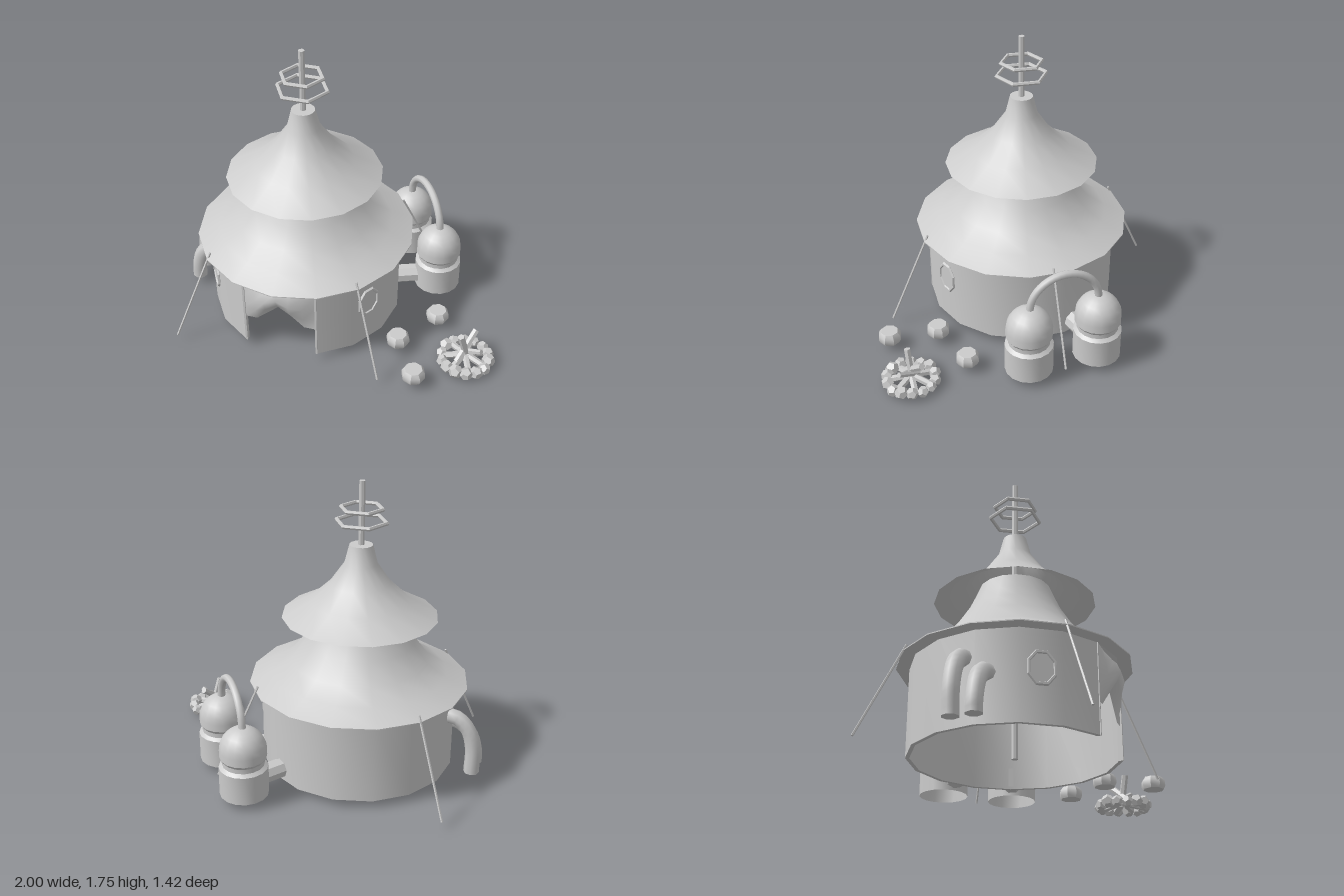
import * as THREE from 'three';
import { toCreasedNormals } from 'three/addons/utils/BufferGeometryUtils.js';

const smooth = new THREE.MeshStandardMaterial({ color: 0xcccccc, side: THREE.DoubleSide });
const flat = new THREE.MeshStandardMaterial({ color: 0xcccccc, flatShading: true });
const V = (x, y, z) => new THREE.Vector3(x, y, z);
const HUT = V(-0.24, 0, 0.06);
const GROUND = 0.06;

function add(parent, name, geometry, material = smooth) {
  const mesh = new THREE.Mesh(geometry, material);
  mesh.name = name;
  parent.add(mesh);
  return mesh;
}

// Creased lathe from [radius, height] pairs
function lathe(points, sides, start = 0, length = Math.PI * 2) {
  const profile = points.map(([r, y]) => new THREE.Vector2(r, y));
  return toCreasedNormals(new THREE.LatheGeometry(profile, sides, start, length), 0.55);
}

// Straight rod between two points
function rod(parent, name, a, b, radius, sides = 6) {
  const mesh = add(parent, name, new THREE.CylinderGeometry(radius, radius, a.distanceTo(b), sides), flat);
  mesh.position.copy(a).lerp(b, 0.5);
  mesh.quaternion.setFromUnitVectors(V(0, 1, 0), b.clone().sub(a).normalize());
  return mesh;
}

function buildHut() {
  const hut = new THREE.Group();
  hut.name = 'hut';
  hut.position.copy(HUT);

  // Sixteen-sided wall with two sides left open for the door
  const wall = [[0.575, GROUND], [0.575, 0.585], [0.553, 0.585], [0.553, GROUND], [0.575, GROUND]];
  add(hut, 'wall', lathe(wall, 14, Math.PI / 8, Math.PI * 1.75));

  // Two flared roofs
  add(hut, 'lowerRoof', lathe([[0.575, 0.56], [0.648, 0.562], [0.648, 0.568], [0.52, 0.628], [0.41, 0.70],
    [0.326, 0.81], [0.27, 0.90], [0.238, 0.97], [0.2, 1.06]], 16));
  add(hut, 'upperRoof', lathe([[0.456, 0.968], [0.29, 1.06], [0.176, 1.166], [0.096, 1.283],
    [0.068, 1.395], [0, 1.395]], 16));

  // Centre pole with hexagonal rings
  rod(hut, 'centrePole', V(0, GROUND, 0), V(0, 1.765, 0), 0.018, 8);
  for (const [radius, y] of [[0.145, 1.53], [0.12, 1.607]]) {
    const ring = add(hut, 'poleRing', new THREE.TorusGeometry(radius, 0.012, 6, 6), flat);
    ring.rotation.x = Math.PI / 2;
    ring.position.y = y;
  }

  for (const side of [-1, 1]) {
    // Door jamb
    const jamb = add(hut, 'doorJamb', new THREE.BoxGeometry(0.012, 0.52, 0.03), flat);
    jamb.position.set(side * 0.217, 0.32, 0.519);

    // Octagonal window on the wall side next to the front
    const window = new THREE.Group();
    window.name = 'window';
    const angle = side * Math.PI * 2.5 / 8;
    window.position.set(Math.sin(angle) * 0.566, 0.35, Math.cos(angle) * 0.566);
    window.rotation.y = angle;
    window.scale.set(0.8, 1, 1);
    add(window, 'windowFrame', new THREE.TorusGeometry(0.09, 0.012, 6, 8), flat).rotation.z = Math.PI / 8;
    const pane = add(window, 'windowPane', new THREE.CircleGeometry(0.09, 8));
    pane.rotation.z = Math.PI / 8;
    pane.position.z = 0.003;
    hut.add(window);
  }

  // Door curtain, parted upward in the middle and bulging forward
  const curtain = new THREE.PlaneGeometry(0.43, 1, 6, 4);
  const p = curtain.attributes.position;
  for (let i = 0; i < p.count; i++) {
    const x = p.getX(i), t = 0.5 - p.getY(i);
    const hem = 0.38 - 0.13 * Math.min(1, Math.abs(x) / 0.143);
    const middle = Math.max(0, 1 - Math.abs(x) / 0.215);
    p.setXYZ(i, x, THREE.MathUtils.lerp(0.575, hem, t), 0.525 + 0.07 * Math.sin(Math.PI * t) * Math.min(1, middle * 1.5));
  }
  curtain.computeVertexNormals();
  add(hut, 'doorCurtain', curtain);

  // Guy ropes
  for (const [x, z] of [[-0.63, 0.61], [-0.63, -0.62], [0.61, 0.63], [0.72, -0.51]]) {
    rod(hut, 'guyRope', V(x * 0.71, 0.6, z * 0.71), V(x, GROUND, z), 0.007, 5);
  }
  return hut;
}

// Two bent pipes entering the wall
function buildSidePipes() {
  const pipes = new THREE.Group();
  pipes.name = 'sidePipes';
  for (const [z, top] of [[0, 0.42], [0.12, 0.33]]) {
    const path = new THREE.CatmullRomCurve3([V(-0.95, GROUND, z), V(-0.95, top - 0.2, z),
      V(-0.915, top - 0.08, z), V(-0.85, top - 0.015, z), V(-0.77, top, z)]);
    add(pipes, 'sidePipe', new THREE.TubeGeometry(path, 12, 0.046, 8));
    const cap = add(pipes, 'sidePipeCap', new THREE.CircleGeometry(0.046, 8));
    cap.rotation.x = Math.PI / 2;
    cap.position.set(-0.95, GROUND + 0.002, z);
  }
  return pipes;
}

// Domed tanks joined by an arched pipe
function buildTanks() {
  const group = new THREE.Group();
  group.name = 'tanks';
  const a = V(0.27, 0, -0.575), b = V(0.523, 0, -0.24);
  const profile = [[0.142, GROUND], [0.142, 0.235], [0.122, 0.252], [0.122, 0.28], [0.136, 0.30]];
  for (let i = 0; i <= 6; i++) {
    const t = i / 6 * Math.PI / 2;
    profile.push([0.136 * Math.cos(t), 0.345 + 0.136 * Math.sin(t)]);
  }
  for (const spot of [a, b]) {
    add(group, 'tank', lathe(profile, 16)).position.copy(spot);
    const toHut = HUT.clone().sub(spot).normalize();
    const start = spot.clone().addScaledVector(toHut, 0.1).setY(0.13);
    const end = HUT.clone().addScaledVector(toHut, -0.55).setY(0.13);
    rod(group, 'tankFeedPipe', start, end, 0.058, 8);
  }
  const middle = a.clone().lerp(b, 0.5), half = b.clone().sub(a).multiplyScalar(0.5);
  const arch = [];
  for (let i = 0; i <= 8; i++) {
    const t = Math.PI * (1 - i / 8);
    arch.push(middle.clone().addScaledVector(half, Math.cos(t)).setY(0.46 + 0.209 * Math.sin(t)));
  }
  add(group, 'tankArchPipe', new THREE.TubeGeometry(new THREE.CatmullRomCurve3(arch), 20, 0.023, 8));
  return group;
}

function buildStools() {
  const stools = new THREE.Group();
  stools.name = 'stools';
  for (const [x, z] of [[0.6, 0.11], [0.415, 0.37], [0.565, 0.62]]) {
    const seat = [[0, GROUND], [0.06, GROUND], [0.07, 0.08], [0.068, 0.11], [0.052, 0.132], [0, 0.132]];
    add(stools, 'stool', lathe(seat, 8), smooth).position.set(x, 0, z);
  }
  return stools;
}

// Ring of stones around crossed logs
function buildCampfire() {
  const fire = new THREE.Group();
  fire.name = 'campfire';
  fire.position.set(0.82, 0, 0.37);
  let seed = 7;
  const random = () => (seed = (seed * 16807) % 2147483647) / 2147483647;
  for (let i = 0; i < 14; i++) {
    const angle = i / 14 * Math.PI * 2, size = 0.03 + 0.013 * random();
    const stone = add(fire, 'stone', new THREE.DodecahedronGeometry(i === 0 ? 0.04 : size), flat);
    stone.position.set(Math.cos(angle) * 0.138, 0.042 + 0.02 * random(), Math.sin(angle) * 0.138);
    stone.rotation.set(random() * 3, random() * 3, random() * 3);
  }
  // Low logs pointing to the middle
  for (let i = 0; i < 7; i++) {
    const angle = i / 7 * Math.PI * 2 + 0.3;
    rod(fire, 'lowLog', V(Math.cos(angle) * 0.13, 0.045, Math.sin(angle) * 0.13), V(0, 0.075, 0), 0.02);
  }
  // Upright logs
  rod(fire, 'log', V(0.01, 0.05, -0.01), V(-0.03, 0.235, 0.03), 0.02);
  rod(fire, 'log', V(-0.04, 0.06, 0.06), V(0.04, 0.195, -0.09), 0.02);
  rod(fire, 'log', V(-0.05, 0.06, -0.04), V(0.095, 0.145, 0.03), 0.016);
  return fire;
}

export function createModel() {
  const model = new THREE.Group();
  model.name = 'campHut';
  model.add(buildHut(), buildSidePipes(), buildTanks(), buildStools(), buildCampfire());
  return model;
}
